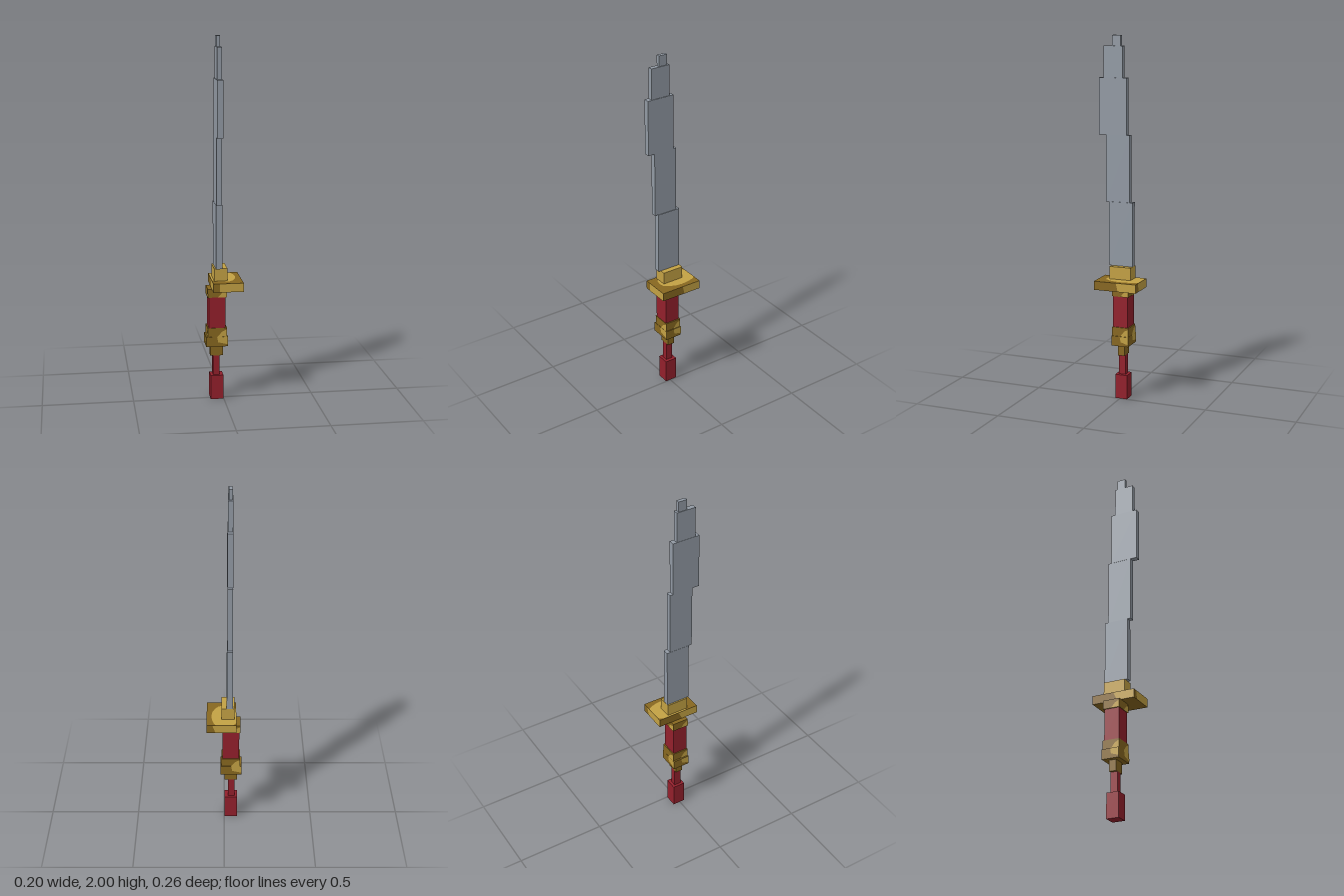
import * as THREE from 'three';

export function createModel() {
  const sword = new THREE.Group();
  sword.name = 'sword';

  const material = (name, color) => {
    const m = new THREE.MeshStandardMaterial({ color });
    m.name = name;
    return m;
  };
  const steel = material('steel', 0x929aa4);
  const red = material('red', 0x94202c);
  const gold = material('gold', 0xc4a244);
  const darkGold = material('dark gold', 0x886820);

  // Box from its limits on each axis
  const block = (name, mat, [x0, x1], [y0, y1], [z0, z1]) => {
    const mesh = new THREE.Mesh(new THREE.BoxGeometry(x1 - x0, y1 - y0, z1 - z0), mat);
    mesh.position.set((x0 + x1) / 2, (y0 + y1) / 2, (z0 + z1) / 2);
    mesh.name = name;
    sword.add(mesh);
    return mesh;
  };

  // Flat inlay on one face of a box; points run 0..1 across and up that face
  const turns = { front: [0, 0], left: [0, Math.PI / 2], back: [0, Math.PI], right: [0, -Math.PI / 2], top: [-Math.PI / 2, 0] };
  const inlay = (box, face, points) => {
    const { width, height, depth } = box.geometry.parameters;
    const side = face === 'left' || face === 'right';
    const w = side ? depth : width;
    const h = face === 'top' ? depth : height;
    const out = (side ? width : face === 'top' ? height : depth) / 2 + 0.001;
    const shape = new THREE.Shape(points.map(([u, v]) => new THREE.Vector2((u - 0.5) * w, (v - 0.5) * h)));
    const geometry = new THREE.ShapeGeometry(shape).translate(0, 0, out);
    geometry.rotateX(turns[face][0]).rotateY(turns[face][1]);
    const mesh = new THREE.Mesh(geometry, gold);
    mesh.name = box.name + 'Inlay';
    mesh.position.copy(box.position);
    sword.add(mesh);
  };

  // Stepped blade, base to tip
  [
    [[-0.048, -0.014], [0.753, 1.106], [-0.068, 0.068]],
    [[-0.047, -0.017], [1.106, 1.47], [-0.049, 0.087]],
    [[-0.048, -0.016], [1.47, 1.775], [-0.031, 0.126]],
    [[-0.046, -0.019], [1.775, 1.943], [-0.008, 0.102]],
    [[-0.043, -0.023], [1.943, 2.0], [0.004, 0.053]],
  ].forEach((limits, i) => block('bladeStep' + (i + 1), steel, ...limits));

  // Guard and the collars around it
  block('bladeCollar', gold, [-0.056, 0.016], [0.683, 0.753], [-0.069, 0.054]);
  const guard = block('guard', darkGold, [-0.067, 0.097], [0.635, 0.683], [-0.129, 0.113]);
  const upperCollar = block('upperGripCollar', darkGold, [-0.09, 0.016], [0.587, 0.635], [-0.056, 0.039]);

  // Grip and stepped lower fittings
  block('grip', red, [-0.084, 0.009], [0.413, 0.587], [-0.05, 0.036]);
  const lowerCollar = block('lowerGripCollar', darkGold, [-0.09, 0.016], [0.363, 0.413], [-0.056, 0.039]);
  const lowerRing = block('lowerGripRing', darkGold, [-0.099, 0.021], [0.308, 0.363], [-0.057, 0.041]);
  block('pommelCollar', darkGold, [-0.073, -0.003], [0.248, 0.308], [-0.026, 0.013]);

  // Pommel stem and weight
  block('pommelStem', red, [-0.058, -0.021], [0.137, 0.248], [-0.026, 0.013]);
  block('pommel', red, [-0.073, -0.002], [0, 0.137], [-0.042, 0.028]);

  // Bright patches on the guard
  inlay(guard, 'top', [
    [0, 0.3], [0.09, 0.27], [0.25, 0.19], [0.45, 0.16], [0.6, 0.19], [0.72, 0.29], [0.81, 0.44],
    [0.84, 0.58], [0.82, 0.75], [0.76, 0.91], [0.68, 1], [0.12, 1], [0, 0.9],
  ]);
  inlay(guard, 'front', [[0.2, 0], [1, 0], [1, 1], [0.2, 1]]);
  inlay(guard, 'left', [[0.58, 0], [1, 0], [1, 1], [0.53, 1]]);
  inlay(guard, 'back', [[0.3, 0], [1, 0], [1, 1], [0.2, 1]]);
  inlay(guard, 'right', [[0.6, 0], [1, 0], [1, 1], [0.5, 1]]);

  // Slanted bright patches on the grip fittings
  for (const face of ['front', 'left', 'back', 'right']) {
    inlay(upperCollar, face, [[0.5, 0], [1, 0], [1, 0.8], [0.75, 0.55]]);
    inlay(lowerCollar, face, [[0.5, 0], [1, 0], [1, 0.85], [0.75, 0.6]]);
    inlay(lowerRing, face, [[0.55, 0.45], [1, 0.2], [1, 1], [0.5, 1]]);
  }

  return sword;
}
